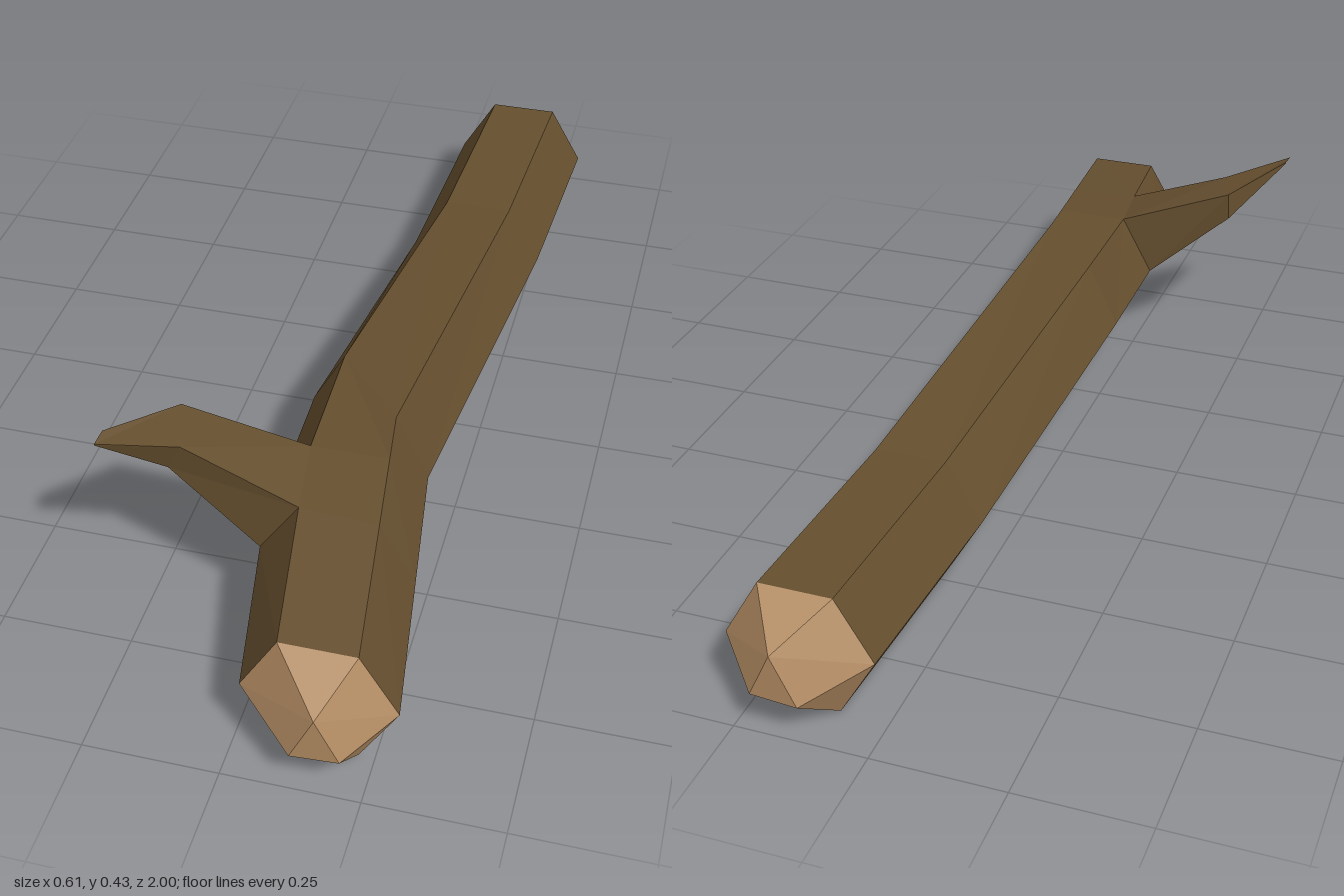
import * as THREE from 'three';

const bark = new THREE.MeshStandardMaterial({ color: 0x664f2f, flatShading: true });
bark.name = 'bark';
const cutWood = new THREE.MeshStandardMaterial({ color: 0xb48d63, flatShading: true });
cutWood.name = 'cutWood';

// Faceted mesh from a list of corner triples
function facets(name, material, points) {
  const geometry = new THREE.BufferGeometry();
  geometry.setAttribute('position', new THREE.Float32BufferAttribute(points.flat(), 3));
  geometry.computeVertexNormals();
  const mesh = new THREE.Mesh(geometry, material);
  mesh.name = name;
  return mesh;
}

// Skin between successive cross-sections
function loft(name, material, rings) {
  const points = [];
  for (let k = 0; k < rings.length - 1; k++) {
    const n = rings[k].length;
    for (let i = 0; i < n; i++) {
      const j = (i + 1) % n;
      const a = rings[k][i], b = rings[k][j], c = rings[k + 1][j], d = rings[k + 1][i];
      points.push(a, d, c, a, c, b);
    }
  }
  return facets(name, material, points);
}

// Hexagon: left, top left, top right, right, bottom right, bottom left as seen from the front
const hexagon = (cx, cy, z) =>
  [[-1, 0], [-0.5, 1], [0.5, 1], [1, 0], [0.5, -1], [-0.5, -1]]
    .map(([u, v]) => [cx + u * 0.14, cy + v * 0.12, z]);

// Slice of the log at depth z between a bent ring and its end
const slice = (from, to, z) => from.map((p, i) => {
  const t = (z - p[2]) / (to[i][2] - p[2]);
  return p.map((v, axis) => v + (to[i][axis] - v) * t);
});

// Rough chopped end: the hexagon narrows to a small triangle
function choppedEnd(name, ring, z, dy, flip) {
  const [L, TL, TR, R, BR, BL] = ring;
  const A = [0.17, 0.18 + dy, z], B = [0.125, 0.083 + dy, z], C = [0.213, 0.09 + dy, z];
  const triangles = [
    [A, TR, TL], [A, R, TR], [A, C, R], [C, BR, R], [C, B, BR],
    [B, BL, BR], [B, L, BL], [A, L, B], [A, TL, L], [A, B, C],
  ];
  return facets(name, cutWood, triangles.flatMap(([p, q, r]) => (flip ? [p, r, q] : [p, q, r])));
}

export function createModel() {
  const group = new THREE.Group();
  group.name = 'log';

  // Log cross-sections, back to front
  const back = hexagon(0.163, 0.12, -0.905);
  const rear = hexagon(0.142, 0.12, -0.46);
  const bend = [
    [-0.045, 0.2, 0.22], [0.02, 0.322, 0.23], [0.16, 0.328, 0.39],
    [0.225, 0.203, 0.4], [0.16, 0.08, 0.26], [0.02, 0.08, 0.42],
  ];
  const front = hexagon(0.155, 0.138, 0.915);
  const forkBack = slice(bend, front, 0.49);
  const forkFront = slice(bend, front, 0.64);
  // The trunk swells slightly where the twig grows
  forkBack[0] = [-0.04, 0.196, 0.49];
  forkBack[1] = [0.025, 0.315, 0.49];
  forkFront[0] = [-0.03, 0.19, 0.64];
  forkFront[1] = [0.045, 0.303, 0.64];

  group.add(loft('trunk', bark, [back, rear, bend, forkBack, forkFront, front]));
  group.add(choppedEnd('frontEnd', front, 1, 0, false));
  group.add(choppedEnd('backEnd', back, -1, -0.01, true));

  // Twig cross-sections: back top, front top, front bottom, back bottom
  group.add(loft('twig', bark, [
    [forkBack[1], forkFront[1], forkFront[0], forkBack[0]],
    [[-0.205, 0.394, 0.525], [-0.172, 0.387, 0.63], [-0.2, 0.33, 0.625], [-0.207, 0.335, 0.53]],
    [[-0.3, 0.427, 0.665], [-0.302, 0.425, 0.7], [-0.302, 0.422, 0.7], [-0.3, 0.424, 0.665]],
  ]));
  return group;
}
